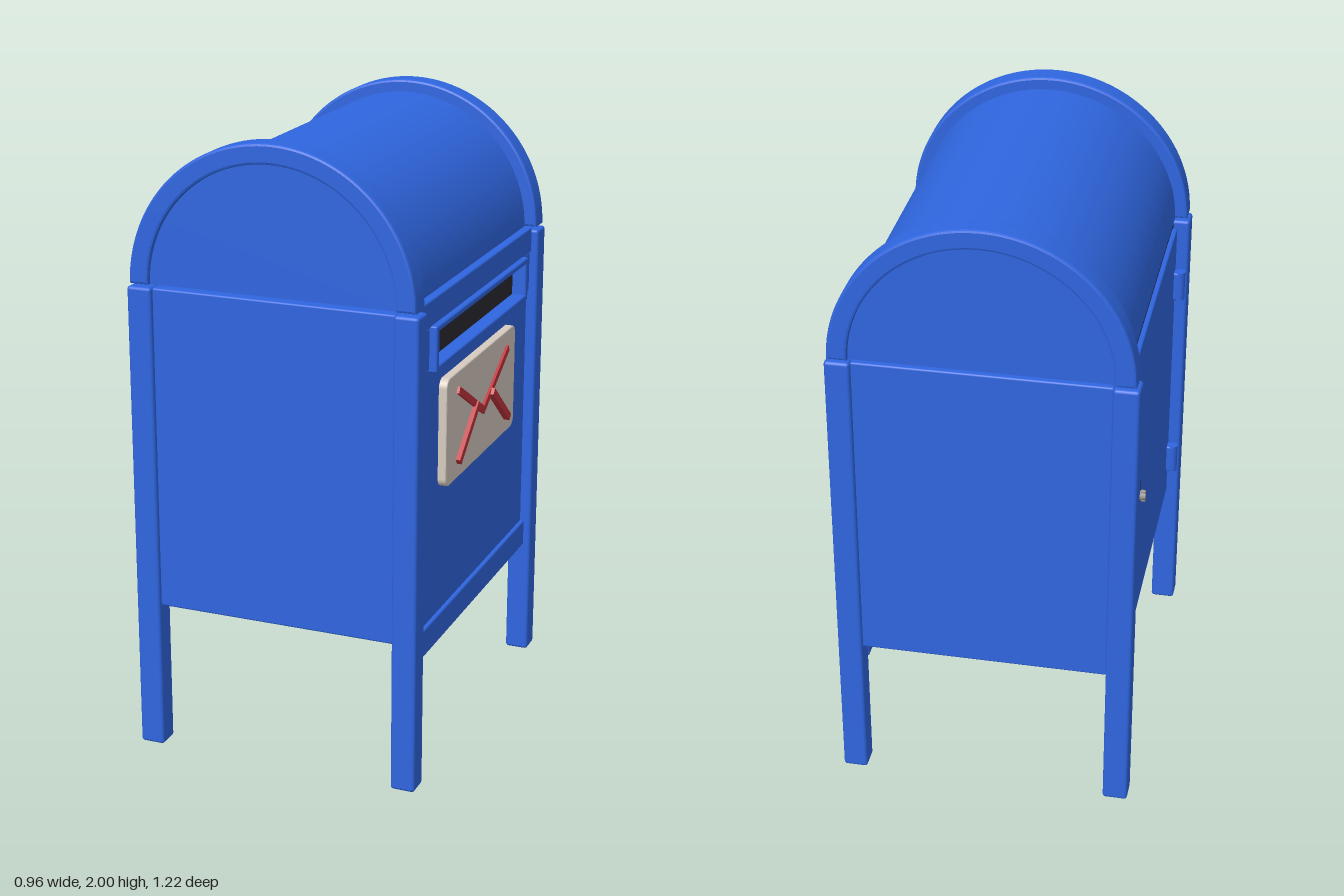
import * as THREE from 'three';
import { RoundedBoxGeometry } from 'three/addons/geometries/RoundedBoxGeometry.js';

const paint = (color) => new THREE.MeshStandardMaterial({ color });
const blue = paint(0x2f66e0), dark = paint(0x2b2932), cream = paint(0xd6cbc0);
const red = paint(0xc0343c), steel = paint(0x9a958f);
const CX = -0.007; // middle of the arched roof

export function createModel() {
  const model = new THREE.Group();
  model.name = 'mailbox';

  const add = (name, geometry, material) => {
    const mesh = new THREE.Mesh(geometry, material);
    mesh.name = name;
    model.add(mesh);
    return mesh;
  };
  // Softly rounded box given by its min and max on each axis
  const box = (name, material, x0, x1, y0, y1, z0, z1, r = 0.006) => {
    const mesh = add(name, new RoundedBoxGeometry(x1 - x0, y1 - y0, z1 - z0, 2, r), material);
    mesh.position.set((x0 + x1) / 2, (y0 + y1) / 2, (z0 + z1) / 2);
    return mesh;
  };
  // Half disc, or half ring when an inner radius is given, standing on y = 0
  const halfRound = (outer, inner = 0) => {
    const s = new THREE.Shape();
    s.absarc(0, 0, outer, 0, Math.PI, false);
    if (inner) s.absarc(0, 0, inner, Math.PI, 0, true);
    s.closePath();
    return s;
  };
  const extrude = (shape, depth, bevel = 0) => {
    const g = new THREE.ExtrudeGeometry(shape, {
      depth: depth - 2 * bevel, curveSegments: 48, bevelEnabled: bevel > 0,
      bevelSize: bevel, bevelThickness: bevel, bevelOffset: -bevel, bevelSegments: 2,
    });
    return g.translate(0, 0, bevel - depth / 2);
  };

  // Legs, end walls and arched gables, front and back
  for (const [end, s] of [['front', 1], ['back', -1]]) {
    const zs = (a, b) => (s > 0 ? [a, b] : [-b, -a]);
    box(end + 'LegRight', blue, -0.48, -0.4, 0, 1.53, ...zs(0.532, 0.61), 0.01);
    box(end + 'LegLeft', blue, 0.386, 0.465, 0, 1.53, ...zs(0.532, 0.61), 0.01);
    box(end + 'Wall', blue, -0.402, 0.388, 0.485, 1.528, ...zs(0.545, 0.595));
    add(end + 'Arch', extrude(halfRound(0.463, 0.4), 0.08, 0.008), blue)
      .position.set(CX, 1.54, s * 0.571);
    add(end + 'Gable', extrude(halfRound(0.403), 0.05), blue)
      .position.set(CX, 1.54, s * 0.57);
  }

  // Barrel roof
  add('roof', extrude(halfRound(0.423, 0.41), 1.08), blue).position.set(CX, 1.54, 0);

  // Slot side: wall, rails and filler blocks beside the slot
  box('slotWall', blue, 0.39, 0.43, 0.485, 1.322, -0.532, 0.532);
  box('bottomRail', blue, 0.385, 0.443, 0.4, 0.49, -0.532, 0.532);
  box('topRail', blue, 0.385, 0.443, 1.455, 1.54, -0.532, 0.532);
  for (const s of [-1, 1]) {
    const z = s * 0.485;
    box('slotSideBlock', blue, 0.385, 0.438, 1.322, 1.455, z - 0.047, z + 0.047);
    box('slotFrameSide', blue, 0.385, 0.462, 1.315, 1.46, s * 0.43 - 0.012, s * 0.43 + 0.012);
  }
  box('slotFrameTop', blue, 0.385, 0.462, 1.44, 1.46, -0.44, 0.44);
  box('slotFrameBottom', blue, 0.385, 0.462, 1.315, 1.335, -0.44, 0.44);
  box('slotFlap', dark, 0.39, 0.415, 1.325, 1.45, -0.425, 0.425);

  // Sign plate with rounded corners
  const w = 0.333, h = 0.175, r = 0.03;
  const plate = new THREE.Shape();
  plate.absarc(w - r, h - r, r, 0, Math.PI / 2);
  plate.absarc(r - w, h - r, r, Math.PI / 2, Math.PI);
  plate.absarc(r - w, r - h, r, Math.PI, Math.PI * 1.5);
  plate.absarc(w - r, r - h, r, Math.PI * 1.5, Math.PI * 2);
  const sign = add('signPlate', extrude(plate, 0.03, 0.004), cream);
  sign.rotation.y = Math.PI / 2;
  sign.position.set(0.442, 1.085, 0);

  // Envelope drawn with four thin bars
  const bar = (name, z0, y0, z1, y1, x0, x1) => {
    const length = Math.hypot(z1 - z0, y1 - y0) + 0.015;
    const mesh = add(name, new THREE.BoxGeometry(x1 - x0, 0.023, length), red);
    mesh.position.set((x0 + x1) / 2, (y0 + y1) / 2, (z0 + z1) / 2);
    mesh.rotation.x = Math.atan2(y0 - y1, z1 - z0);
  };
  for (const s of [-1, 1]) {
    bar('envelopeFlapLine', s * 0.235, 1.2, 0, 1.065, 0.452, 0.466);
    bar('envelopeCornerLine', s * 0.232, 0.972, s * 0.07, 1.104, 0.452, s < 0 ? 0.477 : 0.472);
  }

  // Door side: dark lining, door, hinges and lock
  box('doorLining', dark, -0.426, -0.395, 0.455, 1.538, -0.535, 0.535);
  box('door', blue, -0.442, -0.42, 0.485, 1.515, -0.51, 0.51);
  for (const y of [0.64, 1.32]) {
    const hinge = add('hinge', new THREE.CylinderGeometry(0.018, 0.018, 0.1, 16), blue);
    hinge.position.set(-0.46, y, 0.48);
    box('hingeLeaf', blue, -0.462, -0.435, y - 0.05, y + 0.05, 0.462, 0.498);
  }
  box('lockPlate', dark, -0.459, -0.438, 0.995, 1.085, -0.433, -0.36);
  const knob = add('lockKnob', new THREE.CylinderGeometry(0.012, 0.017, 0.024, 16), steel);
  knob.rotation.z = Math.PI / 2;
  knob.position.set(-0.468, 1.04, -0.396);
  box('lockKey', steel, -0.48, -0.465, 1.02, 1.06, -0.401, -0.391, 0.003);

  return model;
}
